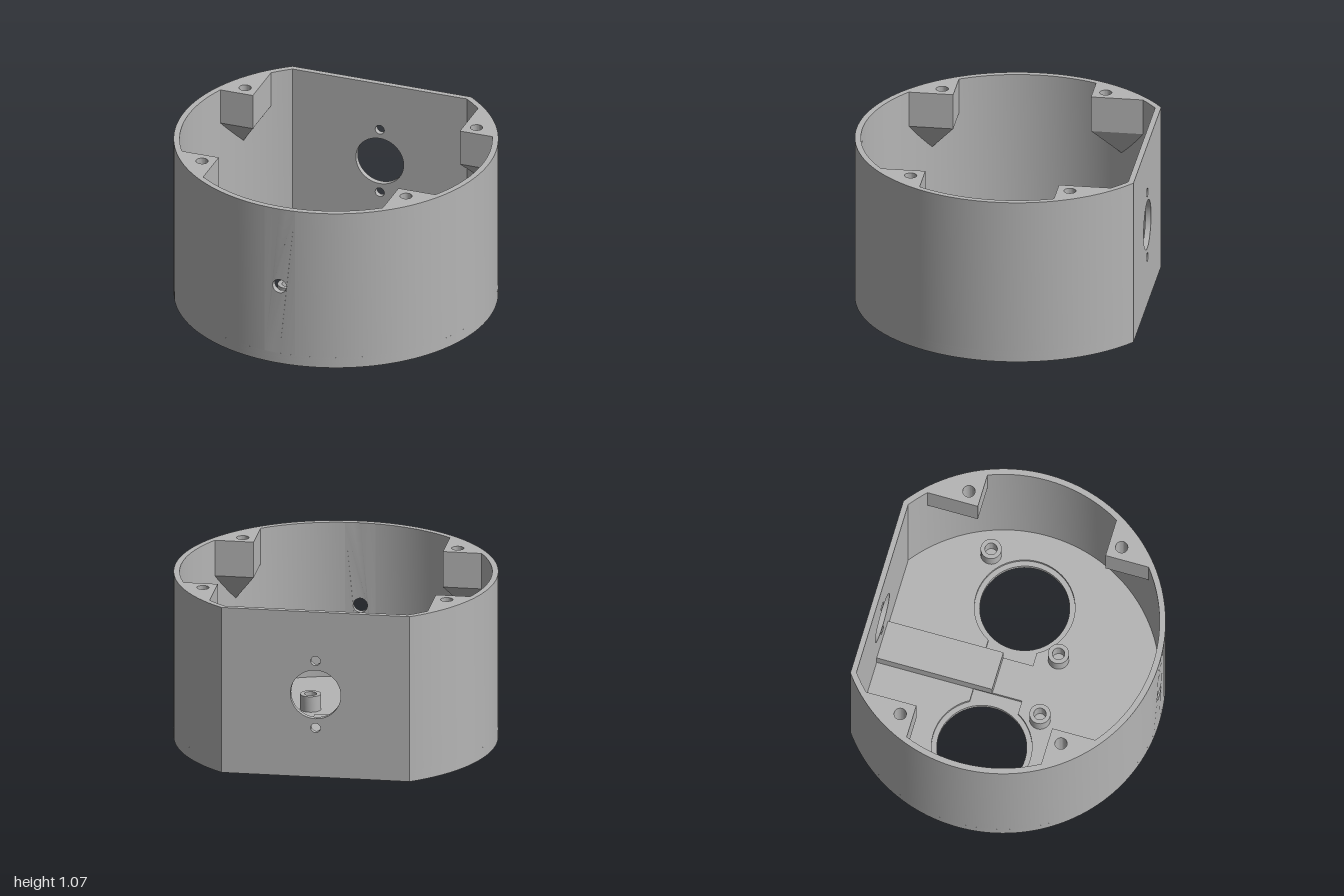
import * as THREE from 'three';
import { toCreasedNormals } from 'three/addons/utils/BufferGeometryUtils.js';
import { ConvexGeometry } from 'three/addons/geometries/ConvexGeometry.js';

const R = 1, RI = 0.963;              // outer and inner radius
const FLAT = -0.81, FLAT_IN = -0.775; // flat back, outer and inner face
const H = 1.07, FLOOR = 0.07, MID = 0.535;
const EYE_X = 0.475;

const V = (x, y) => new THREE.Vector2(x, y);

// points along a circular arc
function arc(cx, cy, r, a0, a1, n) {
  return Array.from({ length: n + 1 }, (_, i) => {
    const a = a0 + ((a1 - a0) * i) / n;
    return V(cx + r * Math.cos(a), cy + r * Math.sin(a));
  });
}
const circle = (x, y, r, n = 48) => new THREE.Path(arc(x, y, r, 0, Math.PI * 2, n).slice(0, -1));
const rect = (x0, y0, x1, y1) => [V(x0, y0), V(x1, y0), V(x1, y1), V(x0, y1)];
const mirror = (pts, s) => pts.map((p) => V(p.x * s, p.y));

// extrude a plan shape (x, z) between two heights
function slab(points, holes, y0, y1) {
  const shape = new THREE.Shape(points);
  shape.holes.push(...holes);
  const g = new THREE.ExtrudeGeometry(shape, { depth: y1 - y0, bevelEnabled: false });
  g.rotateX(Math.PI / 2).translate(0, y1, 0);
  return toCreasedNormals(g, 0.5);
}

export function createModel() {
  const model = new THREE.Group();
  model.name = 'sensorHousing';
  const body = new THREE.Group();
  body.position.z = -0.095;
  model.add(body);

  const grey = new THREE.MeshStandardMaterial({ color: 0xb5b5b5 });
  grey.name = 'grey plastic';
  const add = (name, geometry) => {
    const mesh = new THREE.Mesh(geometry, grey);
    mesh.name = name;
    body.add(mesh);
  };

  // floor: three layers give the ring recesses below and the seats above
  const corner = Math.atan2(FLAT, Math.sqrt(R * R - FLAT * FLAT));
  const outline = arc(0, 0, R, corner, Math.PI - corner, 128);
  const sides = [1, -1];
  const [gx, gz0, gz1] = [0.69, -0.64, -0.4];
  add('floorUnderside', slab(outline, [
    ...sides.map((s) => circle(s * EYE_X, 0, 0.393, 64)),
    new THREE.Path(rect(-gx, gz0, gx, gz1)),
  ], 0, 0.02));
  add('floorPlate', slab(outline, sides.map((s) => circle(s * EYE_X, 0, 0.277, 64)), 0.02, 0.05));
  const seat = [
    ...arc(EYE_X, 0, 0.31, Math.PI * 7 / 6, Math.PI * 17 / 6, 56),
    V(0.12, 0.155), V(0.12, -0.155),
  ];
  add('floorTop', slab(outline, sides.map((s) => new THREE.Path(mirror(seat, s))), 0.05, FLOOR));

  // ribbed panel under the floor
  const f = 0.02;
  add('ribFrame', slab(rect(-gx + f, gz0 + f, gx - f, gz1 - f),
    [new THREE.Path(rect(-gx + 2 * f, gz0 + 2 * f, gx - 2 * f, gz1 - 2 * f))], 0, 0.021));
  for (let i = 0; i < 3; i++) {
    const z = gz0 + 2 * f + 0.025 + i * 0.045;
    add('rib', slab(rect(-gx + 2 * f, z, gx - 2 * f, z + 0.02), [], 0, 0.021));
  }

  // curved walls left and right of the front hole
  const gap = 0.1;
  const cornerIn = Math.atan2(FLAT_IN, Math.sqrt(RI * RI - FLAT_IN * FLAT_IN));
  const wall = [
    ...arc(0, 0, R, corner, Math.PI / 2 - gap, 60),
    ...arc(0, 0, RI, Math.PI / 2 - gap, cornerIn, 60),
  ];
  for (const s of sides) add('curvedWall', slab(mirror(wall, s), [], FLOOR, H));

  // front wall strip with a round hole, bent to the wall radius
  const edge = [-1, -0.5, 0, 0.5, 1].map((t) => t * gap);
  const strip = new THREE.Shape([
    ...edge.map((x) => V(x, FLOOR)),
    ...edge.slice().reverse().map((x) => V(x, H)),
  ]);
  strip.holes.push(circle(0, MID, 0.046, 32));
  const front = new THREE.ExtrudeGeometry(strip, { depth: R - RI, bevelEnabled: false });
  const p = front.attributes.position;
  for (let i = 0; i < p.count; i++) {
    const a = p.getX(i), r = RI + p.getZ(i);
    p.setXYZ(i, r * Math.sin(a), p.getY(i), r * Math.cos(a));
  }
  add('frontWall', toCreasedNormals(front, 0.5));

  // flat back wall with a large hole and two screw holes
  const bx = Math.sqrt(R * R - FLAT * FLAT);
  const back = new THREE.Shape(rect(-bx, FLOOR, bx, H));
  back.holes.push(circle(0, MID, 0.157),
    circle(0, MID + 0.217, 0.03, 24), circle(0, MID - 0.217, 0.03, 24));
  const backGeo = new THREE.ExtrudeGeometry(back, { depth: FLAT_IN - FLAT, bevelEnabled: false });
  backGeo.translate(0, 0, FLAT);
  add('backWall', toCreasedNormals(backGeo, 0.5));

  // corner screw bosses with a tapered underside
  const RB = 0.975, blockH = 0.23, taper = 0.2;
  const bosses = [
    { cx: 0.68, cz: -0.36, hx: 0.76, hz: -0.44 },
    { cx: 0.59, cz: 0.485, hx: 0.67, hz: 0.565 },
  ];
  for (const { cx, cz, hx, hz } of bosses) {
    const a0 = Math.atan2(cz, Math.sqrt(RB * RB - cz * cz));
    const a1 = Math.sign(cz) * Math.acos(cx / RB);
    const rim = arc(0, 0, RB, a0, a1, 8);
    for (const s of sides) {
      const plan = mirror([V(cx, cz), ...rim], s);
      add('screwBoss', slab(plan, [circle(s * hx, hz, 0.038, 32)], H - blockH, H));
      const tip = rim[4];
      add('bossTaper', new ConvexGeometry([
        ...plan.map((q) => new THREE.Vector3(q.x, H - blockH, q.y)),
        new THREE.Vector3(s * tip.x, H - blockH - taper, tip.y),
      ]));
    }
  }

  // hollow mounting posts on the floor
  for (const [x, z] of [[0.75, -0.295], [0.205, 0.295]]) {
    for (const s of sides) {
      add('mountingPost', slab(arc(s * x, z, 0.065, 0, Math.PI * 2, 40).slice(0, -1),
        [circle(s * x, z, 0.038, 32)], FLOOR, 0.17));
    }
  }

  // raised centre block running to the back wall
  add('centreBlock', slab(rect(-0.126, FLAT_IN, 0.126, -0.035), [], FLOOR, 0.15));

  return model;
}
